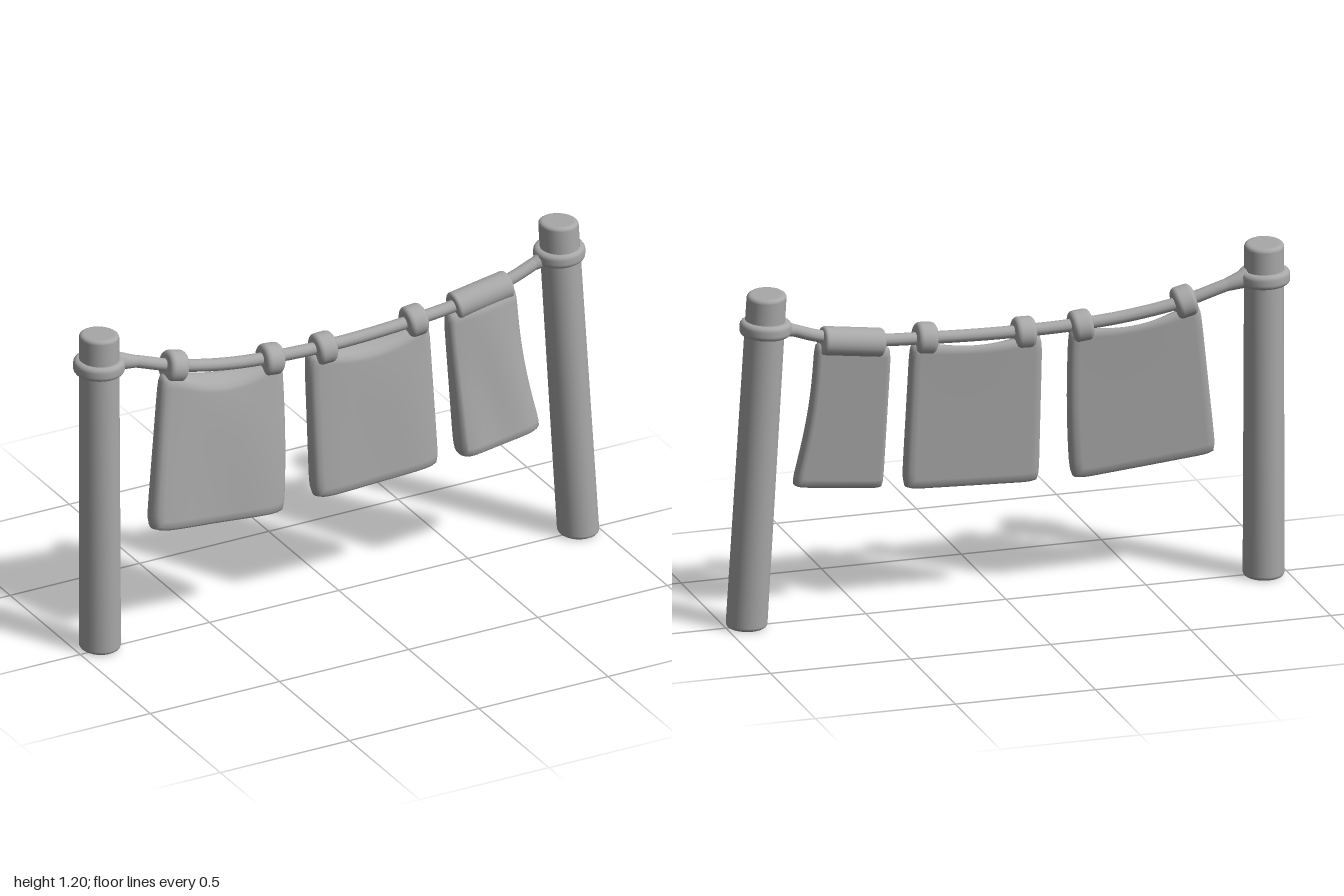
import * as THREE from 'three';
import { mergeVertices } from 'three/addons/utils/BufferGeometryUtils.js';

const clay = new THREE.MeshStandardMaterial({ color: 0xa8a8a8 });
clay.name = 'grey clay';

const V = (x, y, z) => new THREE.Vector3(x, y, z);

function part(group, name, geometry) {
  const mesh = new THREE.Mesh(geometry, clay);
  mesh.name = name;
  group.add(mesh);
  return mesh;
}

// Weld seams and smooth the surface
function weld(geo) {
  geo.deleteAttribute('uv');
  geo.deleteAttribute('normal');
  const welded = mergeVertices(geo, 1e-4);
  welded.computeVertexNormals();
  return welded;
}

// Solid round bar along y, centred on its middle, with soft rims
function bar(radius, length, bevel, baseRadius = radius) {
  const h = length / 2, pts = [new THREE.Vector2(0, -h), new THREE.Vector2(baseRadius - bevel * 1.3, -h)];
  for (const [r, end] of [[baseRadius, -1], [radius, 1]]) {
    for (let i = 0; i <= 4; i++) {
      const a = (end < 0 ? i - 4 : i) * Math.PI / 8;
      pts.push(new THREE.Vector2(r - bevel + bevel * Math.cos(a), end * (h - bevel) + bevel * Math.sin(a)));
    }
  }
  pts.push(new THREE.Vector2(radius - bevel * 1.3, h), new THREE.Vector2(0, h));
  return new THREE.LatheGeometry(pts, 28);
}

// Place a bar between two points
function along(mesh, a, b) {
  mesh.position.copy(a).add(b).multiplyScalar(0.5);
  mesh.quaternion.setFromUnitVectors(V(0, 1, 0), b.clone().sub(a).normalize());
}

// Post leaning from foot to head, slightly oval, with a slanted top
function post(group, name, foot, head, depth) {
  const geo = bar(0.068, 1.195, 0.014, 0.071);
  const p = geo.attributes.position;
  for (let i = 0; i < p.count; i++) {
    const t = p.getY(i) / 1.195 + 0.5, x = p.getX(i), z = p.getZ(i);
    const slant = t > 0.9 ? 0.05 * z - 0.03 * x : 0;
    p.setXYZ(i,
      x + THREE.MathUtils.lerp(foot.x, head.x, t),
      t * 1.195 + slant,
      z * depth + THREE.MathUtils.lerp(foot.z, head.z, t));
  }
  part(group, name, weld(geo));
}

// Thick hanging sheet from four corners [x, y]; front and back are [bottom z, top z]
function sheet(group, name, { tl, tr, bl, br, dip, bow, front, back, fold, turn }) {
  const geo = new THREE.BoxGeometry(2, 2, 2, 24, 24, 6);
  const p = geo.attributes.position, mix = THREE.MathUtils.lerp;
  for (let i = 0; i < p.count; i++) {
    const u0 = p.getX(i), v0 = p.getY(i), w = p.getZ(i);
    // round the rim, then the corners
    const rim = 1 - 0.06 * (1 - Math.sqrt(Math.max(0, 1 - w * w)));
    const u = u0 * rim * (1 - 0.035 * v0 ** 14);
    const v = v0 * rim * (1 - 0.03 * u0 ** 14);
    const s = (u + 1) / 2, t = (v + 1) / 2;
    const x = mix(mix(bl[0], br[0], s), mix(tl[0], tr[0], s), t) - bow * s * Math.sin(Math.PI * t);
    const sag = dip * (1 - u * u) ** 1.5 * t ** 4 * (0.7 + 0.3 * w);
    const y = mix(mix(bl[1], br[1], s), mix(tl[1], tr[1], s), t) - sag;
    // the front swells in the middle and may turn back towards its left edge
    const swell = -0.016 * u ** 4 - turn * s ** 3 * (1 - t)
      + fold * (Math.sin(u * 3.2 + v * 1.6) * 0.4 - (1 - u * u) * t * t);
    const z = mix(mix(back[0], back[1], t), mix(front[0], front[1], t) + swell, (w + 1) / 2);
    p.setXYZ(i, x, y, z);
  }
  part(group, name, weld(geo));
}

export function createModel() {
  const model = new THREE.Group();
  model.name = 'clothesLine';

  // Posts: the left one leans
  post(model, 'rightPost', V(-0.913, 0, -0.02), V(-0.914, 0, -0.024), 1.06);
  post(model, 'leftPost', V(0.927, 0, -0.001), V(0.861, 0, -0.022), 1.06);

  // Rope collars wound around the posts
  const collars = [['rightCollar', -0.914, 1.075, -0.02], ['leftCollar', 0.866, 1.074, 0.04]];
  for (const [name, x, y, tilt] of collars) {
    const collar = part(model, name, bar(0.089, 0.052, 0.017));
    collar.position.set(x, y, -0.024);
    collar.rotation.z = tilt;
  }

  // Sagging rope
  const rope = new THREE.CatmullRomCurve3([
    V(-0.9, 1.085, -0.025), V(-0.8, 1.063, -0.025), V(-0.63, 1.01, -0.012), V(-0.45, 0.976, 0),
    V(-0.27, 0.96, 0.006), V(0, 0.955, 0.012), V(0.29, 0.967, 0.006), V(0.5, 0.985, -0.005),
    V(0.68, 1.023, -0.015), V(0.78, 1.058, -0.02), V(0.86, 1.08, -0.023)]);
  part(model, 'rope', new THREE.TubeGeometry(rope, 64, 0.022, 12));

  // Knots where the rope leaves the collars
  for (const [name, a, b] of [['rightKnot', V(-0.86, 1.078, -0.025), V(-0.77, 1.054, -0.023)],
    ['leftKnot', V(0.83, 1.073, -0.022), V(0.76, 1.05, -0.019)]]) {
    along(part(model, name, bar(0.022, a.distanceTo(b), 0.008, 0.034)), a, b);
  }

  // Loops that hold the two wide sheets
  const loops = [[-0.632, 1.009, -0.01, -0.24], [-0.268, 0.954, 0.006, -0.1],
    [-0.066, 0.949, 0.01, 0.03], [0.287, 0.966, 0.007, 0.1]];
  loops.forEach(([x, y, z, slope], i) => {
    const loop = part(model, 'hangingLoop' + (i + 1), bar(0.056, 0.072, 0.018));
    loop.position.set(x, y, z);
    loop.rotation.z = slope - Math.PI / 2;
  });

  // Rolled hem of the narrow sheet
  along(part(model, 'rolledHem', bar(0.05, 0.222, 0.012)), V(0.444, 0.972, -0.008), V(0.664, 1.004, -0.016));

  // Three hanging sheets
  sheet(model, 'rightSheet', {
    tl: [-0.69, 1.0], tr: [-0.225, 0.955], bl: [-0.762, 0.437], br: [-0.246, 0.392],
    dip: 0.062, bow: -0.008, front: [0.096, 0.045], back: [0.012, -0.03], fold: 0.008, turn: 0 });
  sheet(model, 'middleSheet', {
    tl: [-0.128, 0.945], tr: [0.34, 0.96], bl: [-0.125, 0.402], br: [0.357, 0.422],
    dip: 0.045, bow: 0.0, front: [0.085, 0.05], back: [0.003, -0.028], fold: 0.005, turn: 0 });
  sheet(model, 'leftSheet', {
    tl: [0.415, 0.955], tr: [0.682, 0.995], bl: [0.43, 0.432], br: [0.752, 0.468],
    dip: 0, bow: 0.017, front: [0.11, 0.04], back: [0.008, -0.032], fold: 0.011, turn: 0.03 });

  return model;
}
